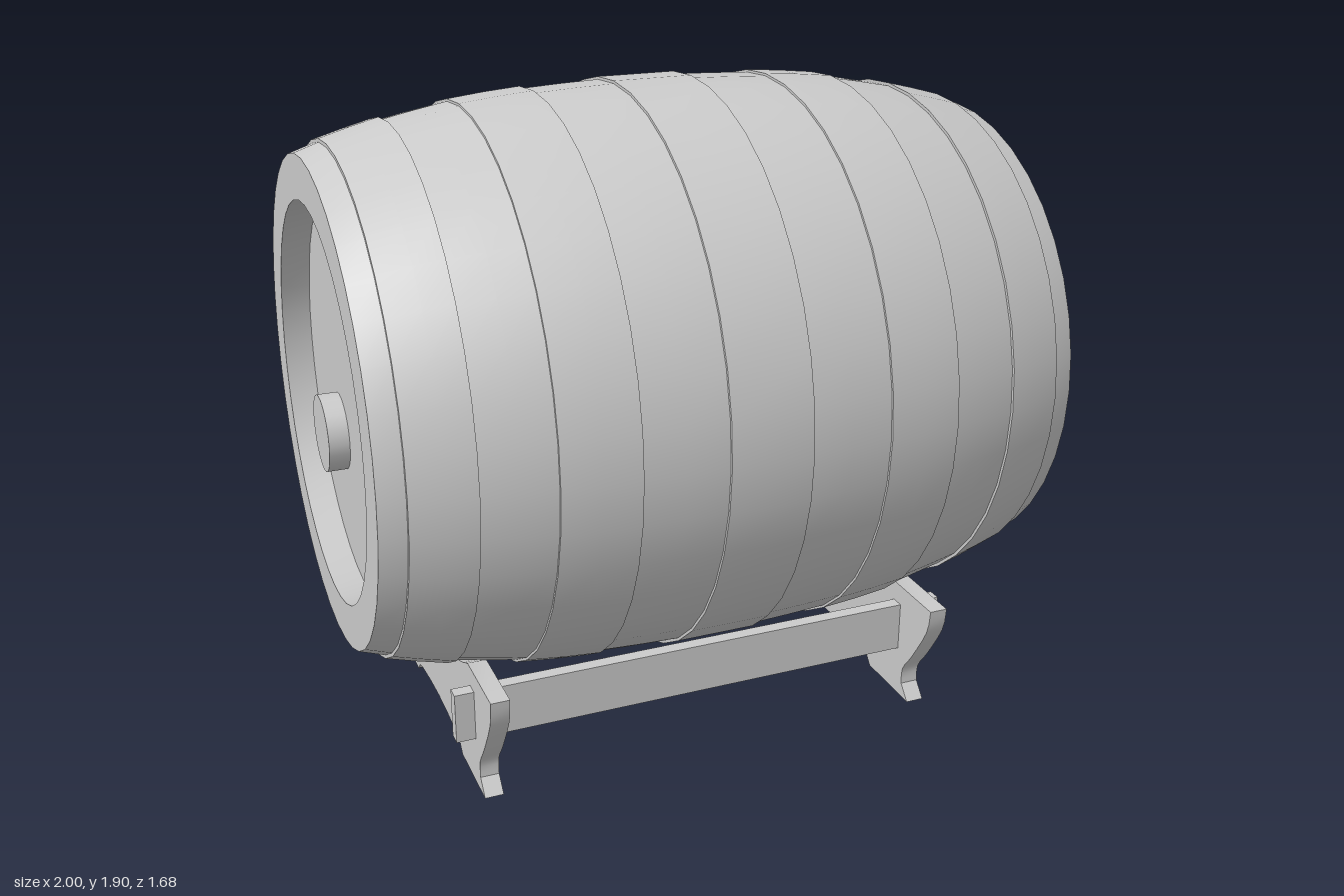
import * as THREE from 'three';
import { toCreasedNormals } from 'three/addons/utils/BufferGeometryUtils.js';

const AXIS_Y = 1.06;
const V = (x, y) => new THREE.Vector2(x, y);

export function createModel() {
  const group = new THREE.Group();
  const material = new THREE.MeshStandardMaterial({ color: 0xcccccc });
  const add = (name, geometry, x = 0, y = 0, z = 0) => {
    const mesh = new THREE.Mesh(geometry, material);
    mesh.name = name;
    mesh.position.set(x, y, z);
    group.add(mesh);
    return mesh;
  };

  // Barrel: half profile as [radius, distance from middle], with stepped hoops
  const half = [
    [0, 0.915], [0.57, 0.915], [0.57, 1], [0.697, 1],      // recessed head and rim
    [0.72, 0.93], [0.73, 0.93], [0.755, 0.84], [0.775, 0.76], // end hoop
    [0.766, 0.76], [0.786, 0.66], [0.803, 0.565],
    [0.81, 0.565], [0.822, 0.455], [0.83, 0.352],          // quarter hoop
    [0.823, 0.352], [0.829, 0.235], [0.833, 0.117], [0.841, 0.117], // middle hoop
  ];
  const profile = [
    ...half.map(([r, d]) => V(r, -d)),
    ...half.slice().reverse().map(([r, d]) => V(r, d)),
  ];
  const barrel = new THREE.LatheGeometry(profile, 40);
  barrel.rotateZ(Math.PI / 2);
  add('barrel', toCreasedNormals(barrel, 0.5), 0, AXIS_Y, 0);

  // Bung on the head at the -x end
  const bung = new THREE.CylinderGeometry(0.115, 0.115, 0.08, 24);
  bung.rotateZ(Math.PI / 2);
  add('bung', bung, -0.935, 0.9, -0.17);

  // Cradle boards: curved flanks, arched foot, round seat for the barrel
  const flank = new THREE.SplineCurve([
    V(0.6, 0.368), V(0.585, 0.29), V(0.51, 0.166), V(0.463, 0.1), V(0.46, 0.045),
  ]).getPoints(12);
  const arch = [V(0.5, 0), V(0.262, 0), V(0.24, 0.025), V(0.207, 0.035), V(0.1, 0.046)];
  const side = [...flank, ...arch];
  const mirrored = side.map((p) => V(-p.x, p.y)).reverse();
  const seatRadius = 0.785;
  const seatAngle = Math.acos((AXIS_Y - 0.368) / seatRadius);
  const seat = [];
  for (let i = 0; i <= 16; i++) {
    const a = seatAngle * (i / 8 - 1);
    seat.push(V(seatRadius * Math.sin(a), AXIS_Y - seatRadius * Math.cos(a)));
  }
  const outline = new THREE.Shape([...side, V(0, 0.05), ...mirrored, ...seat]);
  const thickness = 0.055;
  const board = new THREE.ExtrudeGeometry(outline, { depth: thickness, bevelEnabled: false });
  board.translate(0, 0, -thickness / 2);
  board.rotateY(Math.PI / 2);
  const boardGeometry = toCreasedNormals(board, 0.5);
  for (const s of [-1, 1]) {
    add(s > 0 ? 'leftCradleBoard' : 'rightCradleBoard', boardGeometry, s * 0.681, 0, 0);
    // Rails pass through both boards and stick out at the ends
    add(s > 0 ? 'frontRail' : 'backRail', new THREE.BoxGeometry(1.55, 0.152, 0.04), 0.01, 0.23, s * 0.408);
  }

  return group;
}
